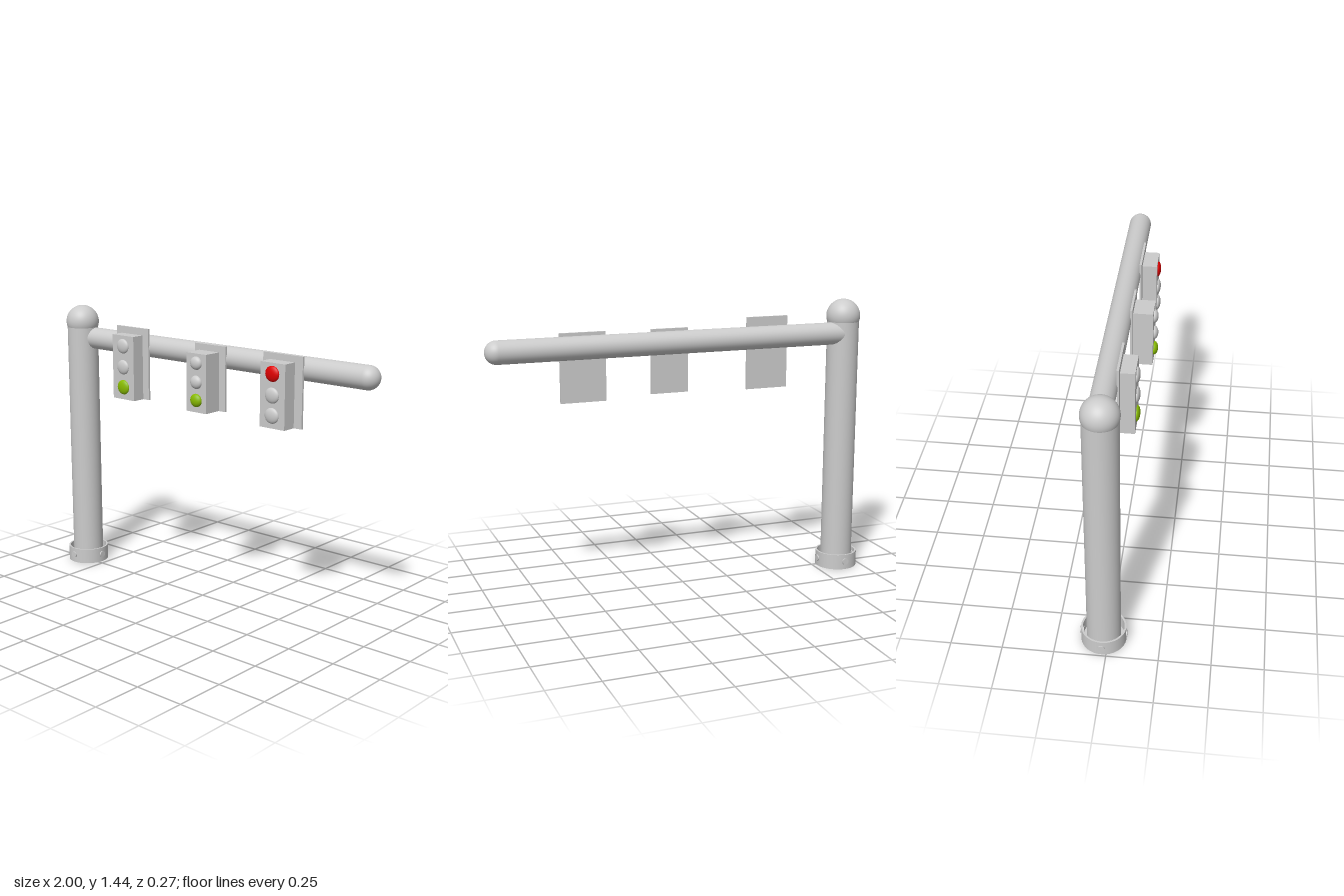
import * as THREE from 'three';

const grey = new THREE.MeshStandardMaterial({ color: 0xcccccc });
const greyDouble = new THREE.MeshStandardMaterial({ color: 0xcccccc, side: THREE.DoubleSide });
const red = new THREE.MeshStandardMaterial({ color: 0xe00000 });
const green = new THREE.MeshStandardMaterial({ color: 0x88bb00 });

const POLE_X = -0.882, POLE_Z = -0.023;

function add(parent, name, geometry, material, x = 0, y = 0, z = 0) {
  const mesh = new THREE.Mesh(geometry, material);
  mesh.name = name;
  mesh.position.set(x, y, z);
  parent.add(mesh);
  return mesh;
}

// Box given by its extents
function addBox(parent, name, [x0, x1], [y0, y1], [z0, z1]) {
  return add(parent, name, new THREE.BoxGeometry(x1 - x0, y1 - y0, z1 - z0), grey,
    (x0 + x1) / 2, (y0 + y1) / 2, (z0 + z1) / 2);
}

// Upright pole with ball cap and a cup-shaped collar held by four bolts
function createPole() {
  const pole = new THREE.Group();
  pole.name = 'pole';
  pole.position.set(POLE_X, 0, POLE_Z);
  add(pole, 'post', new THREE.CylinderGeometry(0.082, 0.082, 1.34, 48), grey, 0, 0.68, 0);
  add(pole, 'ballCap', new THREE.SphereGeometry(0.087, 48, 32), grey, 0, 1.35, 0);

  add(pole, 'collarWall', new THREE.CylinderGeometry(0.109, 0.109, 0.08, 48, 1, true), greyDouble, 0, 0.04, 0);
  add(pole, 'collarLining', new THREE.CylinderGeometry(0.1, 0.1, 0.08, 48, 1, true), greyDouble, 0, 0.04, 0);
  add(pole, 'collarRim', new THREE.RingGeometry(0.1, 0.109, 48), grey, 0, 0.08, 0).rotation.x = -Math.PI / 2;
  add(pole, 'collarFloor', new THREE.CylinderGeometry(0.108, 0.108, 0.012, 48), grey, 0, 0.006, 0);

  const boltGeometry = new THREE.CylinderGeometry(0.017, 0.017, 0.02, 20).rotateX(Math.PI / 2);
  for (let i = 0; i < 4; i++) {
    const a = i * Math.PI / 2;
    const bolt = add(pole, 'bolt', boltGeometry, grey, Math.sin(a) * 0.105, 0.043, Math.cos(a) * 0.105);
    bolt.rotation.y = a;
  }
  return pole;
}

// Horizontal arm with a rounded tip
function createArm() {
  const arm = new THREE.Group();
  arm.name = 'arm';
  arm.position.set(0, 1.263, -0.043);
  const r = 0.057, x0 = POLE_X, x1 = 0.943;
  add(arm, 'armTube', new THREE.CylinderGeometry(r, r, x1 - x0, 40).rotateZ(Math.PI / 2), grey, (x0 + x1) / 2);
  add(arm, 'armTip', new THREE.SphereGeometry(r, 40, 24), grey, x1);
  return arm;
}

// Signal head: thin back plate, housing, and three domed lenses from top to bottom
function createSignal(s) {
  const signal = new THREE.Group();
  signal.name = 'signal';
  addBox(signal, 'backPlate', s.plateX, [s.bottom, s.plateTop], [0.009, 0.02]);
  addBox(signal, 'housing', s.boxX, [s.bottom, s.boxTop], [0.018, s.front]);
  s.lensY.forEach((y, i) => {
    const lens = add(signal, 'lens', new THREE.SphereGeometry(1, 32, 20), s.colors[i], s.lensX, y, s.front);
    lens.scale.set(s.lensR, s.lensR * 0.94, s.bulge);
  });
  return signal;
}

const SIGNALS = [
  { plateX: [-0.577, -0.352], boxX: [-0.541, -0.392], bottom: 0.992, plateTop: 1.361, boxTop: 1.325, front: 0.088,
    lensX: -0.467, lensY: [1.27, 1.161, 1.056], lensR: 0.04, bulge: 0.016, colors: [grey, grey, green] },
  { plateX: [-0.031, 0.163], boxX: [-0.003, 0.123], bottom: 1.003, plateTop: 1.326, boxTop: 1.294, front: 0.116,
    lensX: 0.06, lensY: [1.247, 1.153, 1.063], lensR: 0.035, bulge: 0.021, colors: [grey, grey, green] },
  { plateX: [0.396, 0.627], boxX: [0.437, 0.582], bottom: 0.987, plateTop: 1.329, boxTop: 1.298, front: 0.093,
    lensX: 0.508, lensY: [1.246, 1.144, 1.048], lensR: 0.04, bulge: 0.016, colors: [red, grey, grey] },
];

export function createModel() {
  const model = new THREE.Group();
  model.name = 'trafficLightGantry';
  model.add(createPole(), createArm(), ...SIGNALS.map(createSignal));
  return model;
}
